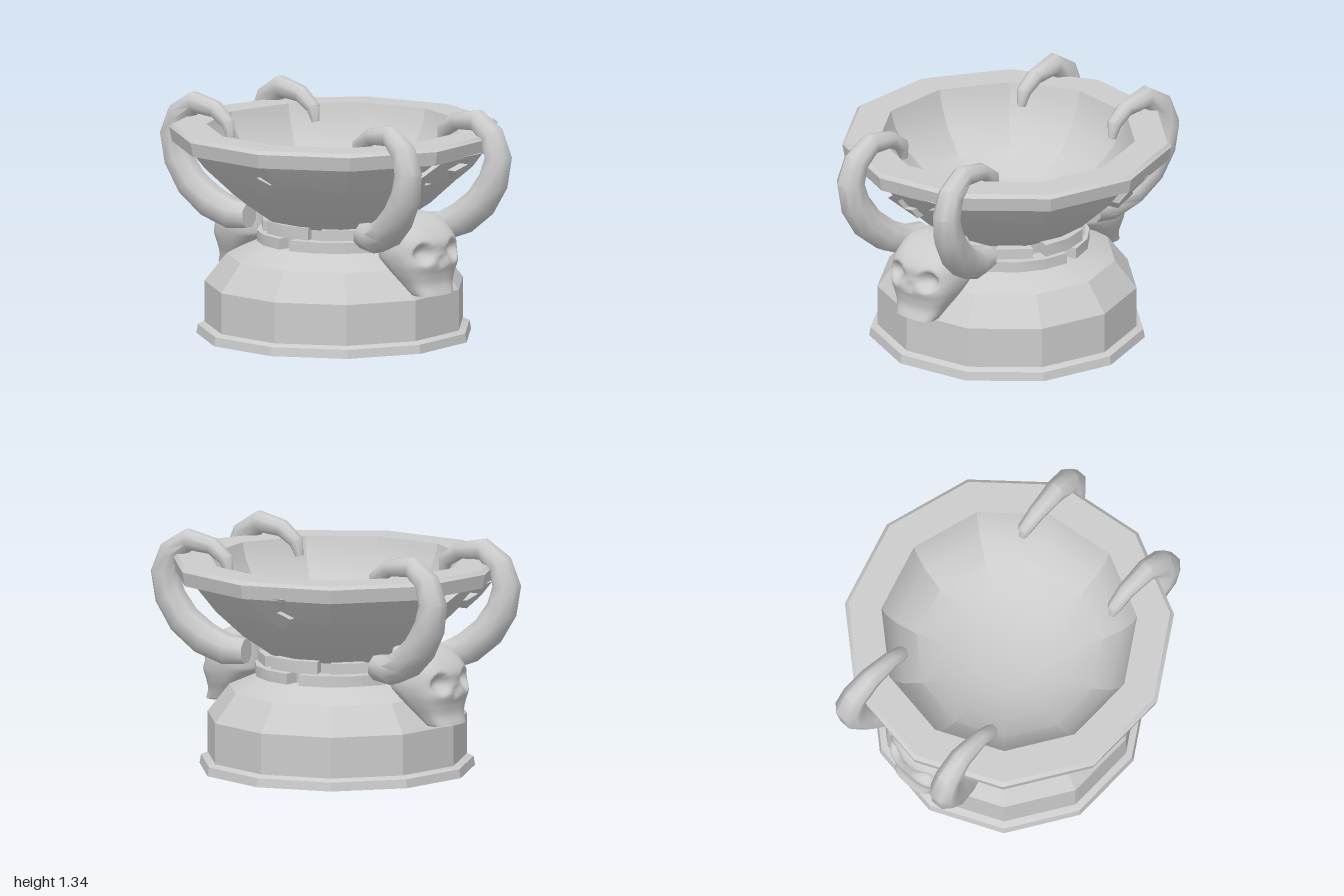
import * as THREE from 'three';
import { toCreasedNormals } from 'three/addons/utils/BufferGeometryUtils.js';

const SIDES = 11;
const material = new THREE.MeshStandardMaterial({ color: 0xcccccc });

function part(name, geometry, crease = 0.4) {
  const mesh = new THREE.Mesh(toCreasedNormals(geometry, crease), material);
  mesh.name = name;
  return mesh;
}

// Eleven-sided turned body with one corner towards +x
function turned(name, profile) {
  const points = profile.map(([r, y]) => new THREE.Vector2(r, y));
  const mesh = part(name, new THREE.LatheGeometry(points, SIDES, Math.PI / 2));
  mesh.position.x = -0.015;
  return mesh;
}

// Skin over a list of equal rings, closed at both ends
function loft(rings) {
  const n = rings[0].length;
  const pos = [];
  const tri = (...corners) => corners.forEach((p) => pos.push(p.x, p.y, p.z));
  const middle = (ring) => ring.reduce((s, p) => s.add(p), new THREE.Vector3()).divideScalar(n);
  const first = rings[0], last = rings[rings.length - 1];
  const start = middle(first), end = middle(last);
  for (let j = 0; j < n; j++) {
    const k = (j + 1) % n;
    for (let i = 0; i < rings.length - 1; i++) {
      const a = rings[i], b = rings[i + 1];
      tri(a[j], a[k], b[k]);
      tri(a[j], b[k], b[j]);
    }
    tri(start, first[k], first[j]);
    tri(end, last[j], last[k]);
  }
  const geometry = new THREE.BufferGeometry();
  geometry.setAttribute('position', new THREE.Float32BufferAttribute(pos, 3));
  return geometry;
}

// Tapering horn that curls out, back over the rim and down into the bowl
function horn(side) {
  // x, y, z, radius
  const path = [
    [0.24, 0.655, 0.45, 0.075], [0.26, 0.655, 0.57, 0.088], [0.3, 0.715, 0.7, 0.096],
    [0.335, 0.815, 0.815, 0.095], [0.355, 0.945, 0.895, 0.09], [0.365, 1.08, 0.923, 0.083],
    [0.36, 1.2, 0.88, 0.075], [0.35, 1.28, 0.77, 0.064], [0.345, 1.257, 0.61, 0.05],
    [0.345, 1.19, 0.515, 0.043], [0.345, 1.11, 0.495, 0.024],
  ];
  const curve = new THREE.CatmullRomCurve3(path.map(([x, y, z]) => new THREE.Vector3(side * x, y, z)));
  const last = path.length - 1;
  const rings = path.map((p, i) => {
    const center = curve.getPoint(i / last);
    const t = curve.getTangent(i / last);
    const u = new THREE.Vector3(1, 0, 0).addScaledVector(t, -t.x).normalize();
    const v = t.clone().cross(u);
    return Array.from({ length: 8 }, (_, j) => {
      const a = (j + 0.5) / 8 * Math.PI * 2;
      return center.clone()
        .addScaledVector(u, p[3] * Math.cos(a))
        .addScaledVector(v, p[3] * Math.sin(a));
    });
  });
  return part(side > 0 ? 'leftHorn' : 'rightHorn', loft(rings), 0.9);
}

// Skull from stacked rounded sections, with sockets pressed into the face
function skull() {
  // half width, height, front z
  const outline = new THREE.CatmullRomCurve3([
    [0.13, 0.33, 0.84], [0.155, 0.39, 0.82], [0.185, 0.45, 0.825], [0.208, 0.51, 0.84],
    [0.218, 0.57, 0.825], [0.21, 0.63, 0.82], [0.195, 0.69, 0.775], [0.178, 0.74, 0.7],
    [0.13, 0.765, 0.62],
  ].map((p) => new THREE.Vector3(...p)));
  const round = (c) => Math.sign(c) * Math.abs(c) ** 0.7;
  const rings = outline.getPoints(44).map(({ x: width, y, z: front }) => {
    const back = Math.max(0.46, 0.68 - (y - 0.33) * 1.1);
    return Array.from({ length: 72 }, (_, j) => {
      const a = j / 72 * Math.PI * 2;
      const x = width * round(Math.sin(a));
      let z = (front + back) / 2 + (front - back) / 2 * round(Math.cos(a));
      if (Math.cos(a) > 0) {
        const eye = Math.hypot((Math.abs(x) - 0.115) / 0.064, (y - 0.575) / 0.066);
        if (eye < 1) z -= 0.05 * (1 - eye ** 2);
        const nose = Math.abs(x) / 0.04 + Math.abs(y - 0.52) / 0.035;
        if (nose < 1) z -= 0.02 * (1 - nose ** 2);
      }
      return new THREE.Vector3(x, y, z);
    });
  });
  return part('skull', loft(rings), 1.3);
}

// Curved block lying on the neck, from angle a0 to a1 in degrees
function neckBlock(a0, a1, inner, outer, y, height) {
  const steps = Math.round((a1 - a0) / 20);
  const point = (r, i) => {
    const a = THREE.MathUtils.degToRad(a0 + (a1 - a0) * i / steps);
    return new THREE.Vector2(r * Math.cos(a), r * Math.sin(a));
  };
  const points = [];
  for (let i = 0; i <= steps; i++) points.push(point(outer, i));
  for (let i = steps; i >= 0; i--) points.push(point(inner, i));
  const geometry = new THREE.ExtrudeGeometry(new THREE.Shape(points), { depth: height, bevelEnabled: false });
  geometry.rotateX(-Math.PI / 2).translate(0, y, 0);
  return part('neckBlock', geometry);
}

// Hooked plate that follows the slope under the rim
function hook(outline, angle) {
  const shape = new THREE.Shape(outline.map(([x, y]) => new THREE.Vector2(x, y)));
  const geometry = new THREE.ExtrudeGeometry(shape, { depth: 0.07, bevelEnabled: false });
  const p = geometry.attributes.position;
  for (let i = 0; i < p.count; i++) {
    p.setZ(i, p.getZ(i) + 0.655 + (p.getY(i) - 0.9) * 0.78);
  }
  return part('rimHook', geometry.rotateY(angle));
}

export function createModel() {
  const model = new THREE.Group();
  model.name = 'hornedBowl';

  model.add(turned('base', [
    [0, 0.04], [0.64, 0.04], [0.67, 0], [0.787, 0], [0.778, 0.05], [0.74, 0.066],
    [0.74, 0.3], [0.615, 0.46], [0.43, 0.54], [0, 0.54],
  ]));
  model.add(turned('bowl', [
    [0, 0.5], [0.38, 0.5], [0.38, 0.66], [0.41, 0.68], [0.57, 0.79], [0.735, 0.94],
    [0.865, 1.1], [0.925, 1.1], [0.94, 1.18], [0.918, 1.2], [0.73, 1.2], [0.705, 1.11],
    [0.64, 0.99], [0.53, 0.88], [0.37, 0.79], [0.19, 0.74], [0, 0.74],
  ]));

  // Two broken courses of blocks round the neck
  for (let i = 0; i < 4; i++) {
    model.add(neckBlock(i * 90 + 8, i * 90 + 88, 0.33, 0.455, 0.54, 0.062));
    model.add(neckBlock(i * 90 - 20, i * 90 + 22, 0.33, 0.44, 0.61, 0.07));
    model.add(neckBlock(i * 90 + 32, i * 90 + 60, 0.33, 0.435, 0.61, 0.06));
  }

  // The front and back carry the same skull, horns and hooks
  const largeHook = [[-0.1, 1.11], [-0.22, 1.02], [-0.08, 0.9], [-0.085, 0.965], [-0.14, 0.96],
    [-0.15, 1.02], [-0.05, 1.09], [0.12, 1.09], [0.16, 1.05], [0.07, 1.02], [0.15, 0.96],
    [0.22, 1.03], [0.23, 1.11]];
  const smallHook = [[-0.08, 1.11], [-0.08, 0.97], [0, 0.9], [0.07, 0.98], [0, 1.02], [0.08, 1.11]];
  for (const [name, turn] of [['front', 0], ['back', Math.PI]]) {
    const half = new THREE.Group();
    half.name = name + 'Ornament';
    half.position.x = -0.01;
    half.rotation.y = turn;
    half.add(skull(), horn(1), horn(-1));
    half.add(hook(largeHook, 0.07), hook(smallHook, Math.PI / 2 + 0.19));
    model.add(half);
  }
  return model;
}
